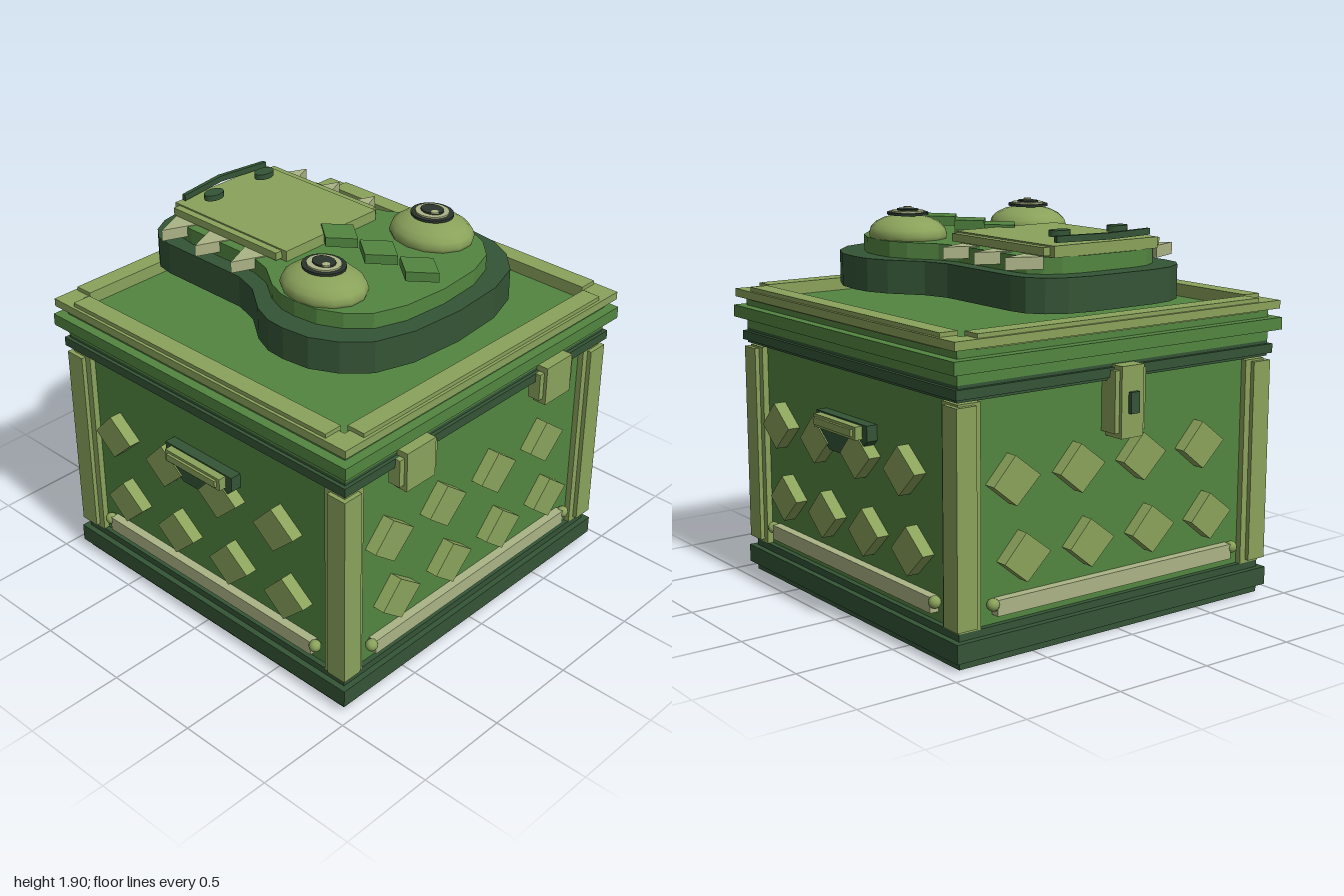
import * as THREE from 'three';

const mat = (name, color) => Object.assign(new THREE.MeshStandardMaterial({ color }), { name });

export function createModel() {
  const model = new THREE.Group();
  model.name = 'reptileChest';
  const green = mat('midGreen', 0x528540);
  const light = mat('lightGreen', 0x8aa25b);
  const dark = mat('darkGreen', 0x345435);
  const cream = mat('cream', 0xabb486);
  const black = mat('pupilDark', 0x2b352c);

  const add = (parent, name, geo, material) => {
    const m = new THREE.Mesh(geo, material);
    m.name = name;
    parent.add(m);
    return m;
  };
  // Box from its limits
  const box = (parent, name, material, x0, x1, y0, y1, z0, z1) => {
    const m = add(parent, name, new THREE.BoxGeometry(x1 - x0, y1 - y0, z1 - z0), material);
    m.position.set((x0 + x1) / 2, (y0 + y1) / 2, (z0 + z1) / 2);
    return m;
  };
  const polygon = pts => new THREE.Shape(pts.map(p => new THREE.Vector2(...p)));
  // Upright plate: outline in x, y pushed along z
  const plate = (parent, name, material, pts, z0, z1) => {
    const m = add(parent, name,
      new THREE.ExtrudeGeometry(polygon(pts), { depth: z1 - z0, bevelEnabled: false }), material);
    m.position.z = z0;
    return m;
  };
  // Flat slab: outline in x, z pushed up along y
  const slab = (parent, name, material, pts, y0, y1) => {
    const geo = new THREE.ExtrudeGeometry(polygon(pts.map(([x, z]) => [x, -z])),
      { depth: y1 - y0, bevelEnabled: false }).rotateX(-Math.PI / 2);
    const m = add(parent, name, geo, material);
    m.position.y = y0;
    return m;
  };
  const square = (parent, name, material, half, y0, y1) =>
    box(parent, name, material, -half, half, y0, y1, -half, half);

  // Chest core: base, body, rim and lid
  const chest = new THREE.Group();
  chest.name = 'chest';
  chest.position.z = 0.014;
  model.add(chest);
  square(chest, 'base', dark, 0.907, 0, 0.165);
  square(chest, 'baseTrim', dark, 0.937, 0.04, 0.13);
  square(chest, 'body', green, 0.88, 0.165, 1.2);
  square(chest, 'rim', dark, 0.92, 1.2, 1.275);
  square(chest, 'rimTrim', dark, 0.938, 1.215, 1.26);
  square(chest, 'lid', green, 0.92, 1.275, 1.43);
  square(chest, 'lidTrim', green, 0.968, 1.33, 1.39);

  // Four sides, each with a post, diamonds, bottom rail and lid edging
  for (let k = 0; k < 4; k++) {
    const side = new THREE.Group();
    side.name = ['front', 'left', 'back', 'right'][k] + 'Side';
    side.rotation.y = k * Math.PI / 2;
    chest.add(side);
    box(side, 'cornerPost', light, 0.79, 0.91, 0.165, 1.19, 0.79, 0.91);
    box(side, 'cornerPostCore', light, 0.825, 0.932, 0.18, 1.18, 0.825, 0.932);
    for (let row = 0; row < 2; row++) for (let i = 0; i < 4; i++) {
      const d = plate(side, 'diamond', light,
        [[-0.127, -0.012], [0, -0.115], [0.13, 0.008], [-0.008, 0.115]], 0.87, 0.943);
      d.position.x = (row ? -0.617 : -0.557) + i * 0.37;
      d.position.y = row ? 0.82 : 0.46;
    }
    box(side, 'bottomRail', cream, -0.71, 0.71, 0.21, 0.285, 0.87, 0.925);
    for (const s of [-1, 1]) {
      const ball = add(side, 'railEnd', new THREE.SphereGeometry(0.03, 12, 8), light);
      ball.position.set(s * 0.725, 0.265, 0.91);
    }
    box(side, 'lidEdge', light, -0.96, 0.96, 1.433, 1.473, 0.862, 0.96);
    box(side, 'lidEdgeTop', light, -0.83, 0.83, 1.425, 1.493, 0.85, 0.945);

    if (k === 0) for (const x of [-0.495, 0.495]) {
      // Hinges
      box(side, 'hinge', light, x - 0.125, x + 0.125, 1.12, 1.26, 0.9, 0.965);
      box(side, 'hingePlate', light, x - 0.095, x + 0.095, 1.09, 1.29, 0.91, 0.982);
    }
    if (k === 2) {
      // Lock
      box(side, 'lock', light, -0.09, 0.09, 0.96, 1.25, 0.87, 0.975);
      box(side, 'lockPlate', light, -0.065, 0.065, 0.935, 1.27, 0.87, 0.992);
      box(side, 'keyhole', dark, -0.025, 0.025, 1.05, 1.15, 0.98, 1.012);
    }
    if (k % 2) {
      // Handles
      plate(side, 'handleBack', dark, [[-0.11, 0.8], [0.11, 0.8], [0.225, 0.9],
        [0.225, 0.975], [-0.225, 0.975], [-0.225, 0.9]], 0.87, 0.936);
      box(side, 'handleBar', light, -0.185, 0.185, 0.905, 0.968, 0.93, 0.975);
      box(side, 'handleGrip', light, -0.165, 0.165, 0.92, 0.955, 0.93, 0.988);
    }
  }

  // Head standing clear of the lid
  const head = new THREE.Group();
  head.name = 'head';
  model.add(head);
  const half = [[0.18, -0.9], [0.3, -0.88], [0.39, -0.83], [0.445, -0.76], [0.46, -0.67],
    [0.46, -0.18], [0.5, -0.05], [0.61, 0.1], [0.655, 0.21], [0.662, 0.31], [0.645, 0.45],
    [0.58, 0.58], [0.47, 0.69], [0.28, 0.755], [0, 0.777]];
  const outline = [...half, ...half.slice(0, -1).reverse().map(([x, z]) => [-x, z])];
  slab(head, 'headBase', dark, outline, 1.52, 1.68);
  slab(head, 'headTop', green, outline.map(([x, z]) => [x * 0.83, z * 0.88]), 1.68, 1.757);
  for (const z of [0.03, 0.28, 0.53])
    slab(head, 'crestScale', green,
      [[0, z - 0.12], [0.095, z], [0, z + 0.12], [-0.095, z]], 1.775, 1.822);

  // Snout, nostrils and curved mouth
  box(head, 'snout', light, -0.342, 0.342, 1.765, 1.803, -0.755, -0.05);
  box(head, 'snoutCore', light, -0.305, 0.305, 1.757, 1.81, -0.785, -0.018);
  slab(head, 'mouth', dark, [[-0.275, -0.765], [0, -0.805], [0.275, -0.765], [0.275, -0.745],
    [0, -0.782], [-0.275, -0.745]], 1.82, 1.85);

  for (const s of [-1, 1]) {
    const nostril = add(head, 'nostril', new THREE.CylinderGeometry(1, 1, 0.028, 16), dark);
    nostril.scale.set(0.056, 1, 0.038);
    nostril.position.set(s * 0.17, 1.848, -0.652);

    // Teeth
    for (const z of [-0.675, -0.44, -0.195])
      slab(head, 'tooth', cream,
        [[s * 0.335, z - 0.07], [s * 0.495, z], [s * 0.335, z + 0.07]], 1.705, 1.762);

    // Eye with stacked iris rings
    const eye = new THREE.Group();
    eye.name = 'eye';
    eye.position.set(s * 0.37, 0, 0.285);
    head.add(eye);
    const ball = add(eye, 'eyeball', new THREE.SphereGeometry(1, 14, 10), light);
    ball.scale.set(0.183, 0.095, 0.22);
    ball.position.y = 1.775;
    const disc = (name, material, rx, rz, y, h, x = 0, z = 0) => {
      const d = add(eye, name, new THREE.CylinderGeometry(1, 1, h, 20), material);
      d.scale.set(rx, 1, rz);
      d.position.set(x, y, z);
    };
    disc('eyeRim', black, 0.097, 0.108, 1.873, 0.012);
    disc('iris', cream, 0.076, 0.085, 1.882, 0.01);
    disc('pupil', black, 0.048, 0.06, 1.89, 0.009);
    disc('eyeGlint', cream, 0.02, 0.02, 1.897, 0.008, -0.024, 0.036);
  }
  return model;
}
